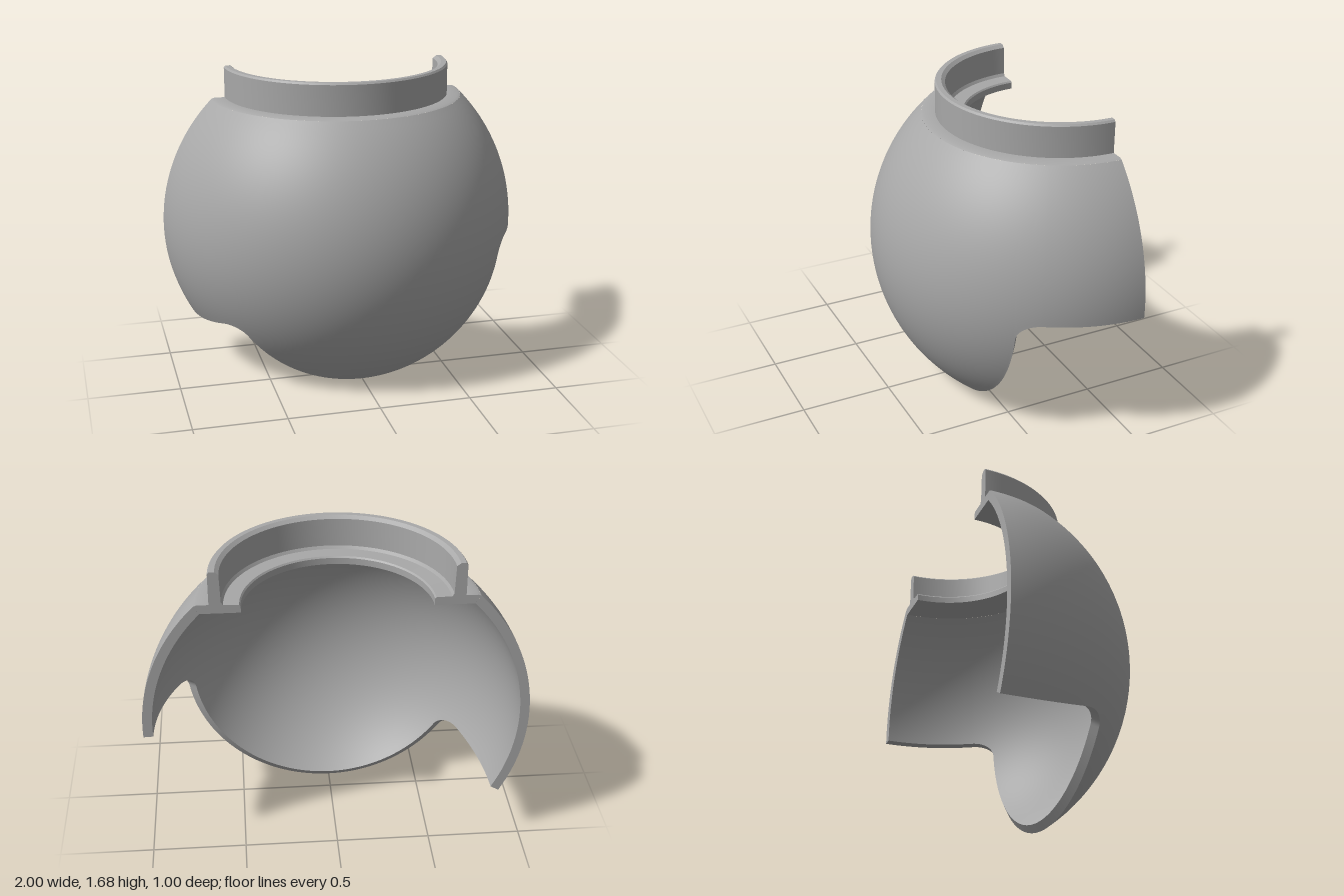
import * as THREE from 'three';
import { toCreasedNormals } from 'three/addons/utils/BufferGeometryUtils.js';

const CY = 0.788, CZ = -0.5, INNER = 0.95;
const rad = THREE.MathUtils.degToRad;

// Point on the unit sphere: turn around z by psi, tilt away from +z by theta
const onSphere = (psi, theta) => new THREE.Vector3(
  Math.sin(rad(theta)) * Math.cos(rad(psi)),
  Math.sin(rad(theta)) * Math.sin(rad(psi)),
  Math.cos(rad(theta)));

// Lower rim: straight side cut, fillet, round front cut, fillet, straight side cut
function rimPoints() {
  const RIGHT = -150.5, LEFT = -2.5, TURN = 7.3, FRONT = 52.05, SIDE = 60;
  const pts = [];
  const fillet = (a, corner, b) => {
    for (let i = 1; i < 12; i++) {
      const t = i / 12;
      pts.push(new THREE.Vector3()
        .addScaledVector(a, (1 - t) ** 2)
        .addScaledVector(corner, 2 * t * (1 - t) * 0.707)
        .addScaledVector(b, t * t).normalize());
    }
  };
  for (let i = 0; i <= 12; i++) pts.push(onSphere(LEFT, 90 + (SIDE - 90) * i / 12));
  fillet(onSphere(LEFT, SIDE), onSphere(LEFT, FRONT), onSphere(LEFT - TURN, FRONT));
  for (let i = 0; i <= 64; i++) {
    pts.push(onSphere(THREE.MathUtils.lerp(LEFT - TURN, RIGHT + TURN, i / 64), FRONT));
  }
  fillet(onSphere(RIGHT + TURN, FRONT), onSphere(RIGHT, FRONT), onSphere(RIGHT, SIDE));
  for (let i = 0; i <= 12; i++) pts.push(onSphere(RIGHT, SIDE + (90 - SIDE) * i / 12));
  return pts;
}

// Thick spherical shell: one closed strip of meridian per rim point
function shellGeometry() {
  const N = 32, ring = 2 * (N + 1), pos = [], idx = [];
  const rim = rimPoints();
  const outerTop = Math.acos(1.497 - CY), innerTop = Math.acos((1.455 - CY) / INNER);
  for (const p of rim) {
    const phi = Math.atan2(Math.max(p.z, 0), p.x), end = Math.acos(p.y);
    for (let k = 0; k < ring; k++) {
      const outer = k <= N, j = outer ? k : ring - 1 - k, r = outer ? 1 : INNER;
      const th = THREE.MathUtils.lerp(outer ? outerTop : innerTop, end, j / N);
      pos.push(r * Math.sin(th) * Math.cos(phi), CY + r * Math.cos(th), CZ + r * Math.sin(th) * Math.sin(phi));
    }
  }
  const quad = (a, b, c, d) => idx.push(a, b, c, a, c, d);
  for (let i = 0; i < rim.length - 1; i++) {
    for (let k = 0; k < ring - 1; k++) {
      const a = i * ring + k, d = a + ring;
      quad(a, d, d + 1, a + 1);
    }
  }
  // flat cut faces at the back
  const last = (rim.length - 1) * ring;
  for (let j = 0; j < N; j++) {
    const inn = ring - 1 - j;
    quad(j, j + 1, inn - 1, inn);
    quad(last + inn, last + inn - 1, last + j + 1, last + j);
  }
  const g = new THREE.BufferGeometry();
  g.setAttribute('position', new THREE.Float32BufferAttribute(pos, 3));
  g.setIndex(idx);
  return toCreasedNormals(g, 0.5);
}

export function createModel() {
  const group = new THREE.Group();
  const grey = new THREE.MeshStandardMaterial({ color: 0xa8a8a8 });
  grey.name = 'grey';
  const add = (name, geometry, parent = group) => {
    const mesh = new THREE.Mesh(geometry, grey);
    mesh.name = name;
    parent.add(mesh);
    return mesh;
  };

  add('shell', shellGeometry());

  // Neck with shoulder and inner ledge, as one half-turned profile
  const profile = [
    [0.705, 1.497], [0.69, 1.503], [0.63, 1.503], [0.63, 1.67], [0.622, 1.68],
    [0.595, 1.68], [0.575, 1.665], [0.57, 1.515], [0.56, 1.5], [0.482, 1.498],
    [0.475, 1.49], [0.475, 1.455], [0.676, 1.455],
  ].map(([r, y]) => new THREE.Vector2(r, y));
  const neck = new THREE.Group();
  neck.name = 'neck';
  neck.position.z = CZ;
  group.add(neck);
  add('neckRing', toCreasedNormals(new THREE.LatheGeometry(profile, 64, -Math.PI / 2, Math.PI), 0.5), neck);

  // Cut faces of the neck, facing backwards
  for (const [side, name] of [[1, 'neckCutRight'], [-1, 'neckCutLeft']]) {
    const shape = new THREE.Shape(profile.map((p) => new THREE.Vector2(side * p.x, p.y)));
    add(name, new THREE.ShapeGeometry(shape).rotateY(Math.PI), neck);
  }
  return group;
}
